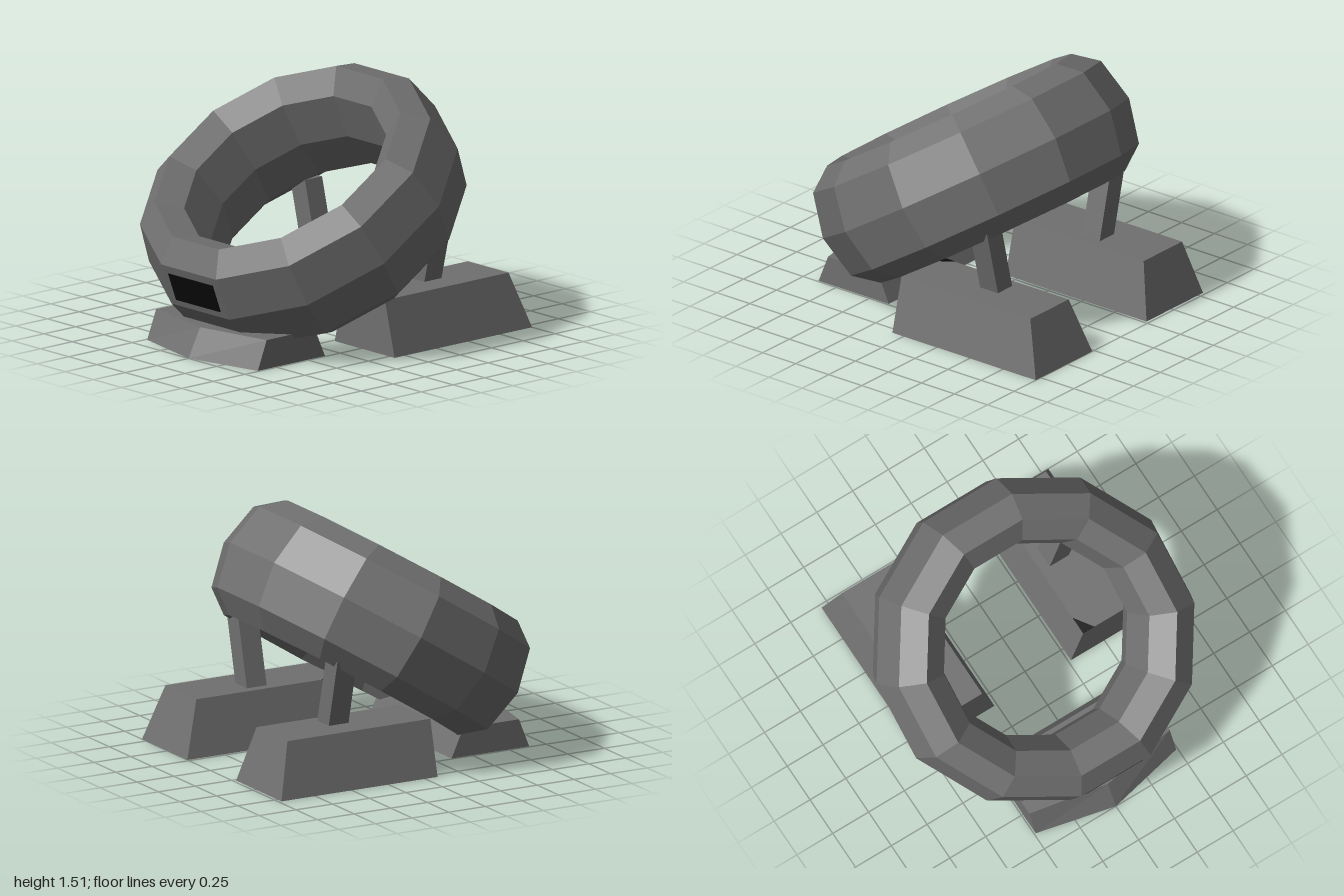
import * as THREE from 'three';

const grey = new THREE.MeshStandardMaterial({ color: 0x707070 });
grey.name = 'grey';
const black = new THREE.MeshStandardMaterial({ color: 0x0a0a0a });
black.name = 'black';

function flat(geometry) {
  const g = geometry.index ? geometry.toNonIndexed() : geometry;
  g.computeVertexNormals();
  return g;
}

// Solid between two convex [x, z] outlines, listed counter-clockwise from above
function loft(bottom, top, y0, y1) {
  const lo = bottom.map(([x, z]) => [x, y0, z]);
  const hi = top.map(([x, z]) => [x, y1, z]);
  const n = lo.length;
  const pos = [];
  const tri = (a, b, c) => pos.push(...a, ...b, ...c);
  for (let i = 0; i < n; i++) {
    const j = (i + 1) % n;
    tri(lo[i], lo[j], hi[j]);
    tri(lo[i], hi[j], hi[i]);
    if (i > 0 && i < n - 1) {
      tri(hi[0], hi[i], hi[i + 1]);
      tri(lo[0], lo[i + 1], lo[i]);
    }
  }
  const g = new THREE.BufferGeometry();
  g.setAttribute('position', new THREE.Float32BufferAttribute(pos, 3));
  return flat(g);
}

const rect = (x0, x1, z0, z1) => [[x0, z1], [x1, z1], [x1, z0], [x0, z0]];

export function createModel() {
  const model = new THREE.Group();
  model.name = 'tiltedRingOnFeet';
  const add = (name, geometry, material = grey) => {
    const mesh = new THREE.Mesh(geometry, material);
    mesh.name = name;
    model.add(mesh);
    return mesh;
  };

  // Twelve-sided ring with an oval eight-sided section, tilted forward
  const ring = new THREE.TorusGeometry(0.791, 0.201, 8, 12);
  ring.rotateZ(Math.PI / 12);
  ring.scale(1, 1, 1.89);
  ring.rotateX(-THREE.MathUtils.degToRad(57.7));
  ring.translate(0, 0.78, 0.095);
  add('ring', flat(ring));

  // Dark panel on the front of the ring
  const panel = add('frontPanel', new THREE.BoxGeometry(0.39, 0.18, 0.008), black);
  panel.position.set(0, 0.392, 0.953);
  panel.rotation.x = 0.354;

  // Front foot with a bowed front
  add('frontFoot', loft(
    [[-0.49, 0.89], [0, 1], [0.49, 0.89], [0.49, 0.36], [-0.49, 0.36]],
    [[-0.49, 0.82], [0, 0.91], [0.49, 0.82], [0.49, 0.44], [-0.49, 0.44]],
    0, 0.175));

  // Rear feet, each with a strut leaning outward
  for (const [side, s, back] of [['left', 1, -1], ['right', -1, -0.98]]) {
    const cx = s * 0.532;
    add(side + 'RearFoot', loft(
      rect(cx - 0.265, cx + 0.265, back, 0.085),
      rect(cx - 0.18, cx + 0.18, -0.89, 0.085), 0, 0.335));
    const bx = s * 0.474, tx = s * 0.58;
    add(side + 'Strut', loft(
      rect(bx - 0.067, bx + 0.067, -0.51, -0.375),
      rect(tx - 0.067, tx + 0.067, -0.51, -0.375), 0.32, 0.75));
  }

  // Dark corner mark on the left rear foot
  add('footMark', loft(
    [[0.352, 0.085], [0.43, 0.085], [0.352, -0.03]],
    [[0.352, 0.085], [0.43, 0.085], [0.352, -0.03]], 0.334, 0.338), black);

  return model;
}
